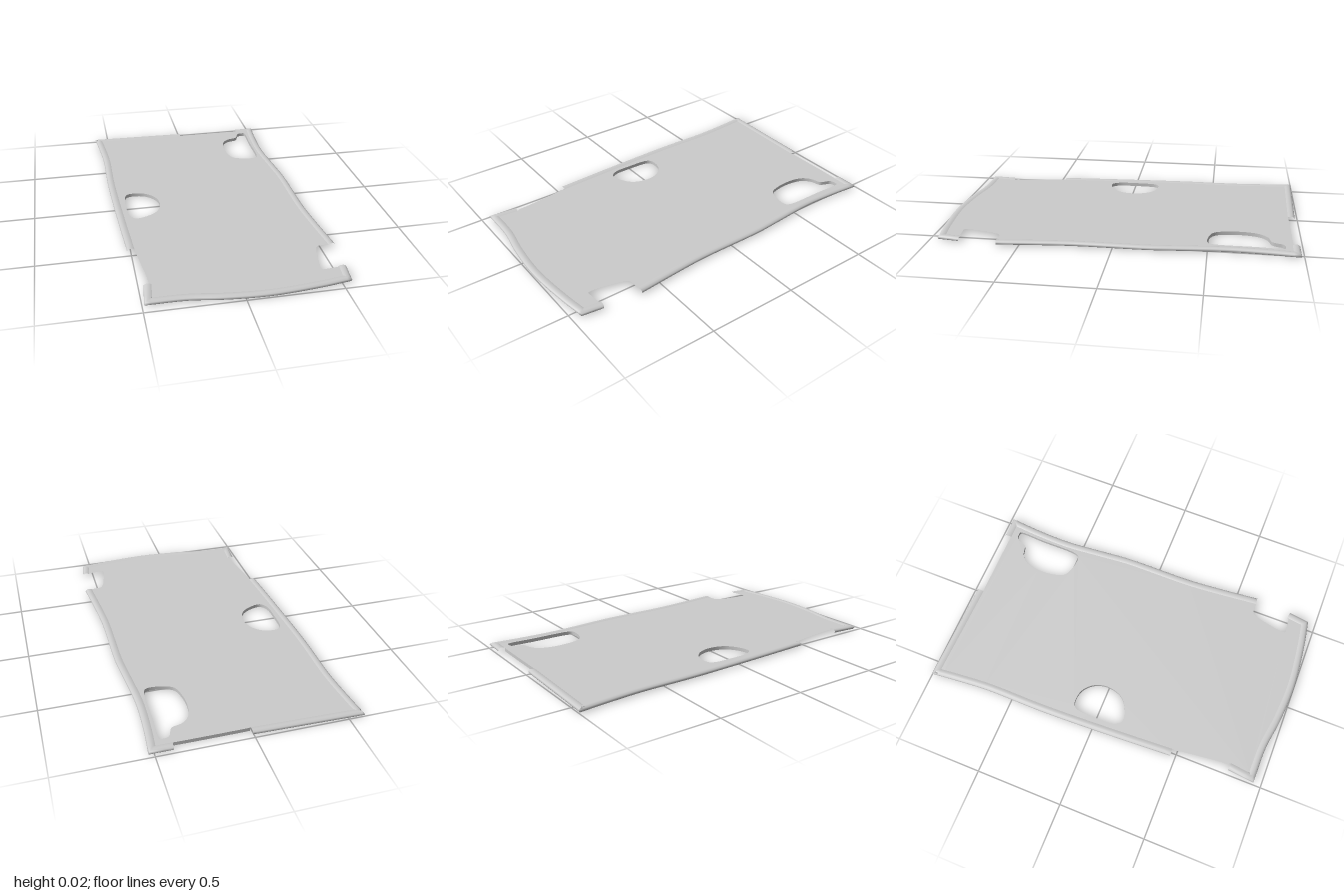
import * as THREE from 'three';

const TOP = 0.02, BOTTOM = 0;
const material = new THREE.MeshStandardMaterial({ color: 0xcccccc });

// Smooth curve through [x, z] points, sampled as Vector2
function smooth(points, count, closed = false) {
  const curve = new THREE.CatmullRomCurve3(points.map(([x, z]) => new THREE.Vector3(x, 0, z)), closed);
  return curve.getPoints(count).map(p => new THREE.Vector2(p.x, p.z));
}

// Several smooth sides joined at sharp corners
function joinSides(...sides) {
  return sides.flatMap((side, i) => smooth(side, side.length > 2 ? 32 : 2).slice(i ? 1 : 0));
}

// Path moved inward with mitred corners
function inset(path, d) {
  const normal = (a, b) => new THREE.Vector2(a.y - b.y, b.x - a.x).normalize();
  return path.map((p, i) => {
    const n1 = normal(path[Math.max(i - 1, 0)], path[Math.max(i, 1)]);
    const last = path.length - 1;
    const n2 = normal(path[Math.min(i, last - 1)], path[Math.min(i + 1, last)]);
    const m = n1.clone().add(n2).normalize();
    return p.clone().addScaledVector(m, d / m.dot(n1));
  });
}

// Surface between neighbouring rows; each row is a path at one height
function loft(rows) {
  const n = rows[0].path.length, positions = [], index = [];
  rows.forEach(({ path, y }) => path.forEach(p => positions.push(p.x, y, p.y)));
  for (let r = 0; r < rows.length - 1; r++) {
    for (let i = 0; i < n - 1; i++) {
      const a = r * n + i, b = a + 1, c = a + n, d = c + 1;
      index.push(a, b, c, b, d, c);
    }
  }
  const geometry = new THREE.BufferGeometry();
  geometry.setAttribute('position', new THREE.Float32BufferAttribute(positions, 3));
  geometry.setIndex(index);
  geometry.computeVertexNormals();
  return geometry;
}

// Flat sheet with holes, facing up or down
function sheet(outline, holes, y, up) {
  const side = up ? -1 : 1;
  const flat = path => path.map(p => new THREE.Vector2(p.x, side * p.y));
  const shape = new THREE.Shape(flat(outline));
  shape.holes = holes.map(h => new THREE.Path(flat(h)));
  return new THREE.ShapeGeometry(shape).rotateX(side * Math.PI / 2).translate(0, y, 0);
}

export function createModel() {
  const group = new THREE.Group();
  const add = (name, geometry) => {
    const mesh = new THREE.Mesh(geometry, material);
    mesh.name = name;
    group.add(mesh);
  };

  // Outer edges, clockwise from above, broken by the three notches
  const leftEdge = joinSides(
    [[0.405, -0.985], [0.53, -0.985]],
    [[0.53, -0.985], [0.515, -0.8], [0.51, -0.6], [0.53, -0.35], [0.542, -0.2],
      [0.545, 0.2], [0.56, 0.4], [0.582, 0.622]]);
  const frontEdge = joinSides(
    [[0.565, 0.835], [0.55, 0.955]],
    [[0.55, 0.955], [0.4, 0.978], [0.13, 1], [-0.1, 0.985], [-0.28, 0.958], [-0.49, 0.955]],
    [[-0.49, 0.955], [-0.475, 0.8]]);
  const rightEdge = joinSides(
    [[-0.52, 0.47], [-0.535, 0.2], [-0.555, -0.3], [-0.555, -0.65], [-0.57, -0.85], [-0.585, -1]],
    [[-0.585, -1], [-0.4, -0.995], [0.005, -0.985]]);

  // Rounded raised border: [inset, height]
  const profile = [[0.04, TOP], [0.03, 0.0235], [0.015, 0.0245], [0.004, 0.019],
    [0, 0.012], [0.004, 0.005], [0.015, 0], [0.04, BOTTOM]];
  const edges = { leftBorder: leftEdge, frontBorder: frontEdge, rightBorder: rightEdge };
  for (const [name, path] of Object.entries(edges)) {
    add(name, loft(profile.map(([d, y]) => ({ path: inset(path, d), y }))));
  }

  // Notches in the left, right and back edges
  const [leftInner, frontInner, rightInner] = [leftEdge, frontEdge, rightEdge].map(e => inset(e, 0.04));
  const leftNotch = smooth([[0.52, 0.625], [0.478, 0.632], [0.46, 0.67], [0.445, 0.73],
    [0.43, 0.81], [0.432, 0.845], [0.46, 0.845], [0.515, 0.84]], 32);
  const rightNotch = smooth([[-0.447, 0.785], [-0.45, 0.73], [-0.46, 0.65], [-0.472, 0.55], [-0.482, 0.49]], 20);
  const backNotch = smooth([[0.01, -0.946], [0.05, -0.947], [0.36, -0.947], [0.4, -0.946]], 8);
  const outline = [...leftInner, ...leftNotch, ...frontInner, ...rightNotch, ...rightInner, ...backNotch];

  // Cut-outs
  const slotHole = smooth([[0.405, -0.895], [0.42, -0.905], [0.455, -0.905], [0.46, -0.89], [0.455, -0.75],
    [0.45, -0.53], [0.435, -0.5], [0.36, -0.5], [0.29, -0.53], [0.265, -0.6], [0.26, -0.7],
    [0.28, -0.78], [0.32, -0.82], [0.38, -0.84], [0.395, -0.87]], 80, true);
  const roundHole = smooth([[-0.465, -0.13], [-0.44, -0.15], [-0.36, -0.143], [-0.3, -0.09], [-0.277, -0.01],
    [-0.3, 0.08], [-0.36, 0.13], [-0.435, 0.148], [-0.468, 0.11], [-0.475, 0]], 64, true);
  const holes = [slotHole, roundHole];
  const openHoles = holes.map(h => h.slice(0, -1));

  add('topSheet', sheet(outline, openHoles, TOP, true));
  add('bottomSheet', sheet(outline, openHoles, BOTTOM, false));

  // Thin walls of the cut-outs and the back notch
  const wall = path => loft([{ path, y: TOP }, { path, y: BOTTOM }]);
  holes.forEach((h, i) => add(i ? 'roundHoleWall' : 'slotHoleWall', wall([...h].reverse())));
  add('backNotchWall', wall(backNotch));

  return group;
}
